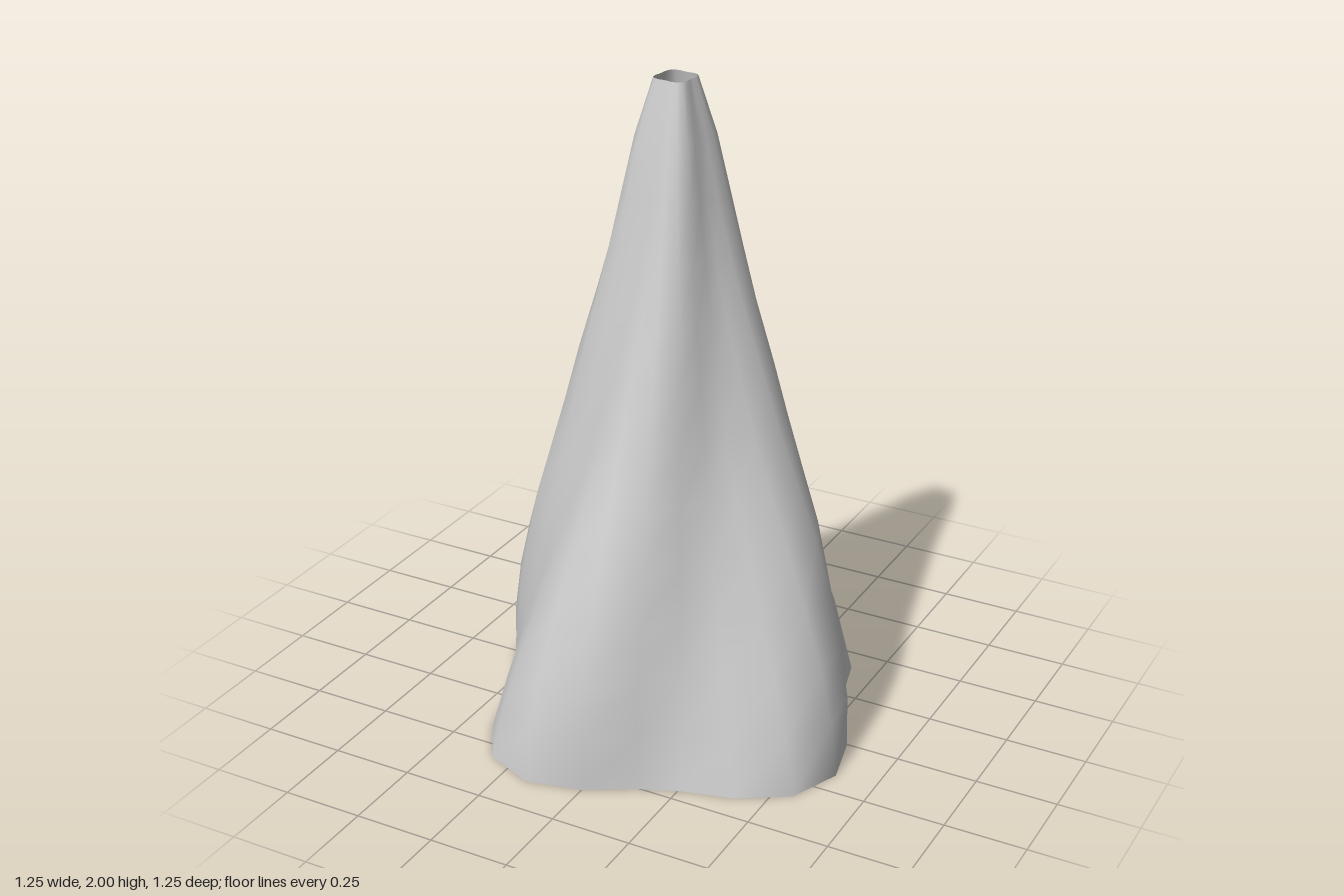
import * as THREE from 'three';
import { mergeVertices } from 'three/addons/utils/BufferGeometryUtils.js';

// Mean radius of each ring, from the base up to the open tip
const RADII = [0.585, 0.557, 0.516, 0.466, 0.415, 0.356, 0.304, 0.26, 0.215, 0.174, 0.138, 0.104, 0.057];
const HEIGHT = 2;
const SIDES = 24;
const LOBES = 4;
const LOBE_DEPTH = 0.12;
const TWIST = -Math.PI / 3;

export function createModel() {
  const group = new THREE.Group();
  group.name = 'twistedCone';

  const grey = new THREE.MeshStandardMaterial({ color: 0xcccccc, side: THREE.DoubleSide });
  grey.name = 'light grey';

  // Open tube, reshaped into four lobes that turn as they rise
  const rings = RADII.length - 1;
  let geometry = new THREE.CylinderGeometry(1, 1, HEIGHT, SIDES, rings, true);
  geometry.translate(0, HEIGHT / 2, 0);
  const pos = geometry.attributes.position;
  for (let i = 0; i < pos.count; i++) {
    const y = pos.getY(i);
    const t = y / HEIGHT;
    const angle = Math.atan2(pos.getZ(i), pos.getX(i));
    const lobeAngle = Math.PI / 8 + TWIST * t;
    const r = RADII[Math.round(t * rings)] * (1 + LOBE_DEPTH * Math.cos(LOBES * (angle - lobeAngle)));
    pos.setXYZ(i, r * Math.cos(angle), y, r * Math.sin(angle));
  }

  // Weld the seam so the shading runs smoothly all the way round
  geometry.deleteAttribute('uv');
  geometry.deleteAttribute('normal');
  geometry = mergeVertices(geometry, 1e-4);
  geometry.computeVertexNormals();

  const shell = new THREE.Mesh(geometry, grey);
  shell.name = 'shell';
  group.add(shell);
  return group;
}
